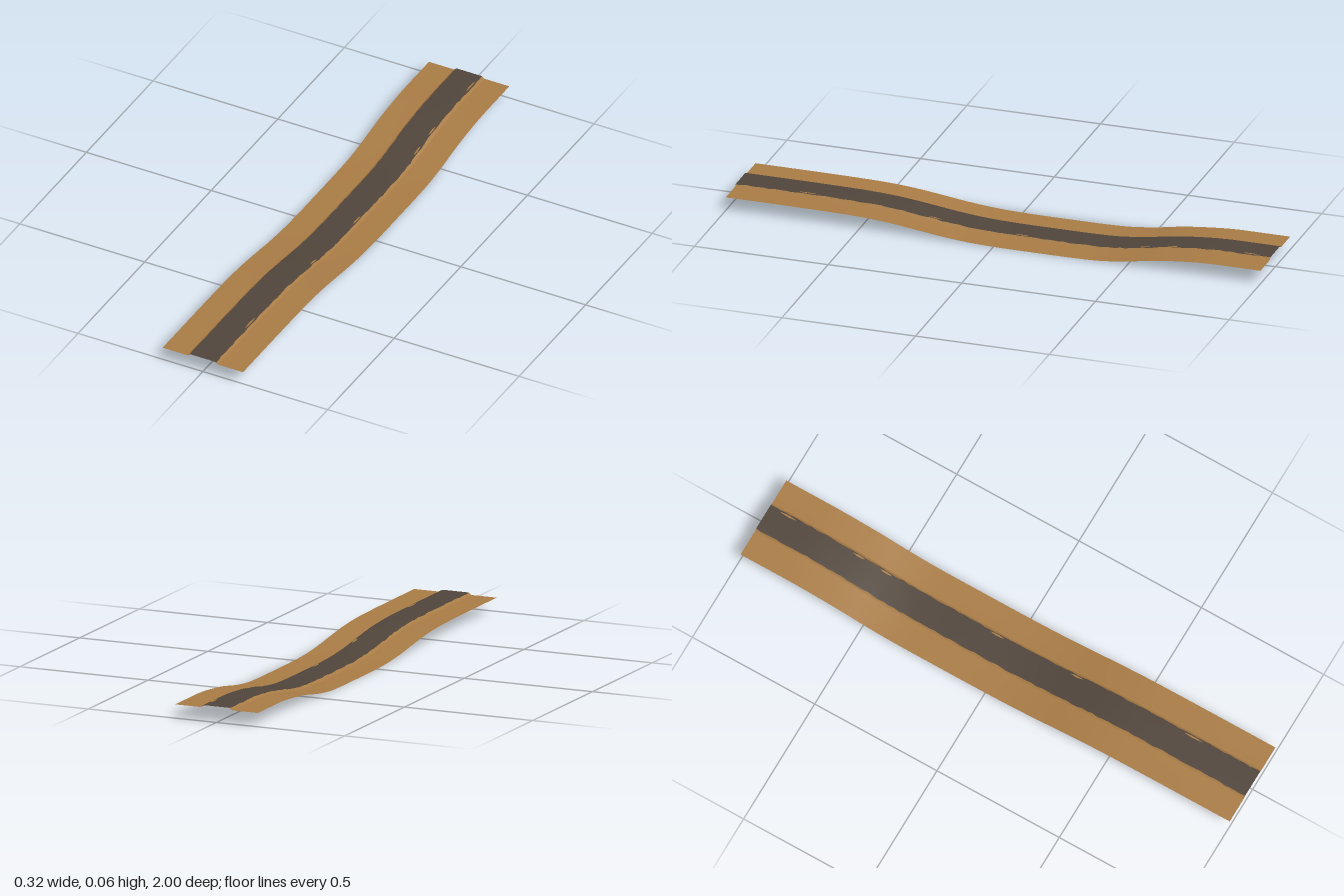
import * as THREE from 'three';

const ROWS = 96;

// Height of the terrain along z: level ends with a shallow dip between them
const dip = new THREE.CatmullRomCurve3([
  [-1, 0.05], [-0.8, 0.0495], [-0.7, 0.043], [-0.6, 0.032], [-0.5, 0.015], [-0.4, 0.0035],
  [-0.3, 0.0003], [-0.15, 0], [0, 0.001], [0.1, 0.005], [0.2, 0.014], [0.3, 0.027],
  [0.4, 0.039], [0.5, 0.046], [0.6, 0.0485], [0.8, 0.05], [1, 0.05],
].map(([z, y]) => new THREE.Vector3(0, y, z)));
const profile = dip.getPoints(320);

function groundHeight(z) {
  let i = 1;
  while (i < profile.length - 1 && profile[i].z < z) i++;
  const a = profile[i - 1], b = profile[i];
  return THREE.MathUtils.clamp(THREE.MathUtils.mapLinear(z, a.z, b.z, a.y, b.y), 0, 0.05);
}

// Small repeatable noise in 0..1 for the ragged edge of the road
function noise(i, seed) {
  const s = Math.sin(i * 12.9898 + seed * 78.233) * 43758.5453;
  return s - Math.floor(s);
}

// Sweep a cross-section (listed from -x to +x) along the terrain
function ribbon(name, section, material, z0 = -1, z1 = 1, rows = ROWS) {
  const positions = [], index = [];
  for (let r = 0; r <= rows; r++) {
    const z = z0 + (z1 - z0) * r / rows;
    const points = section(r);
    const n = points.length;
    points.forEach(([x, y], c) => {
      positions.push(x, groundHeight(z) + y, z);
      if (r < rows && c < n - 1) {
        const a = r * n + c, b = a + 1, d = a + n, e = d + 1;
        index.push(a, d, b, b, d, e);
      }
    });
  }
  const geometry = new THREE.BufferGeometry();
  geometry.setAttribute('position', new THREE.Float32BufferAttribute(positions, 3));
  geometry.setIndex(index);
  geometry.computeVertexNormals();
  const mesh = new THREE.Mesh(geometry, material);
  mesh.name = name;
  return mesh;
}

export function createModel() {
  const earth = new THREE.MeshStandardMaterial({ name: 'earth brown', color: 0xa87b45, side: THREE.DoubleSide });
  const track = new THREE.MeshStandardMaterial({ name: 'dark track', color: 0x50453b, side: THREE.DoubleSide });
  const model = new THREE.Group();
  model.name = 'dippedRoad';

  // Ragged line where the track meets its bank
  const edge = (r, side) => side * (0.0505 + 0.004 * noise(r, side + 2));
  const edgeHeight = (x) => 0.0078 - Math.max(0, Math.abs(x) - 0.0515) * 0.5;

  // Verges with a short curved bank up to the track
  for (const side of [-1, 1]) {
    const section = (r) => {
      const e = edge(r, side);
      const points = [
        [side * 0.161, 0], [side * 0.11, 0], [side * 0.063, 0],
        [side * 0.059, 0.001], [side * 0.056, 0.004], [e, edgeHeight(e)],
      ];
      return side < 0 ? points : points.reverse();
    };
    model.add(ribbon(side < 0 ? 'rightVerge' : 'leftVerge', section, earth));
  }

  // Raised track surface
  model.add(ribbon('track', (r) => {
    const a = edge(r, -1), b = edge(r, 1);
    return [[a, edgeHeight(a)], [-0.047, 0.008], [0, 0.008], [0.047, 0.008], [b, edgeHeight(b)]];
  }, track));

  // Thin slivers of earth spilled over the left edge of the track
  for (const [z0, z1] of [[-0.96, -0.89], [-0.66, -0.61], [-0.55, -0.5], [-0.1, -0.04], [0.23, 0.28], [0.69, 0.77]]) {
    model.add(ribbon('spilledEarth', (r) => {
      const w = 0.0035 * Math.sin(Math.PI * r / 8);
      return [[0.0455 - w, 0.0086], [0.0455 + w, 0.0086]];
    }, earth, z0, z1, 8));
  }
  return model;
}
